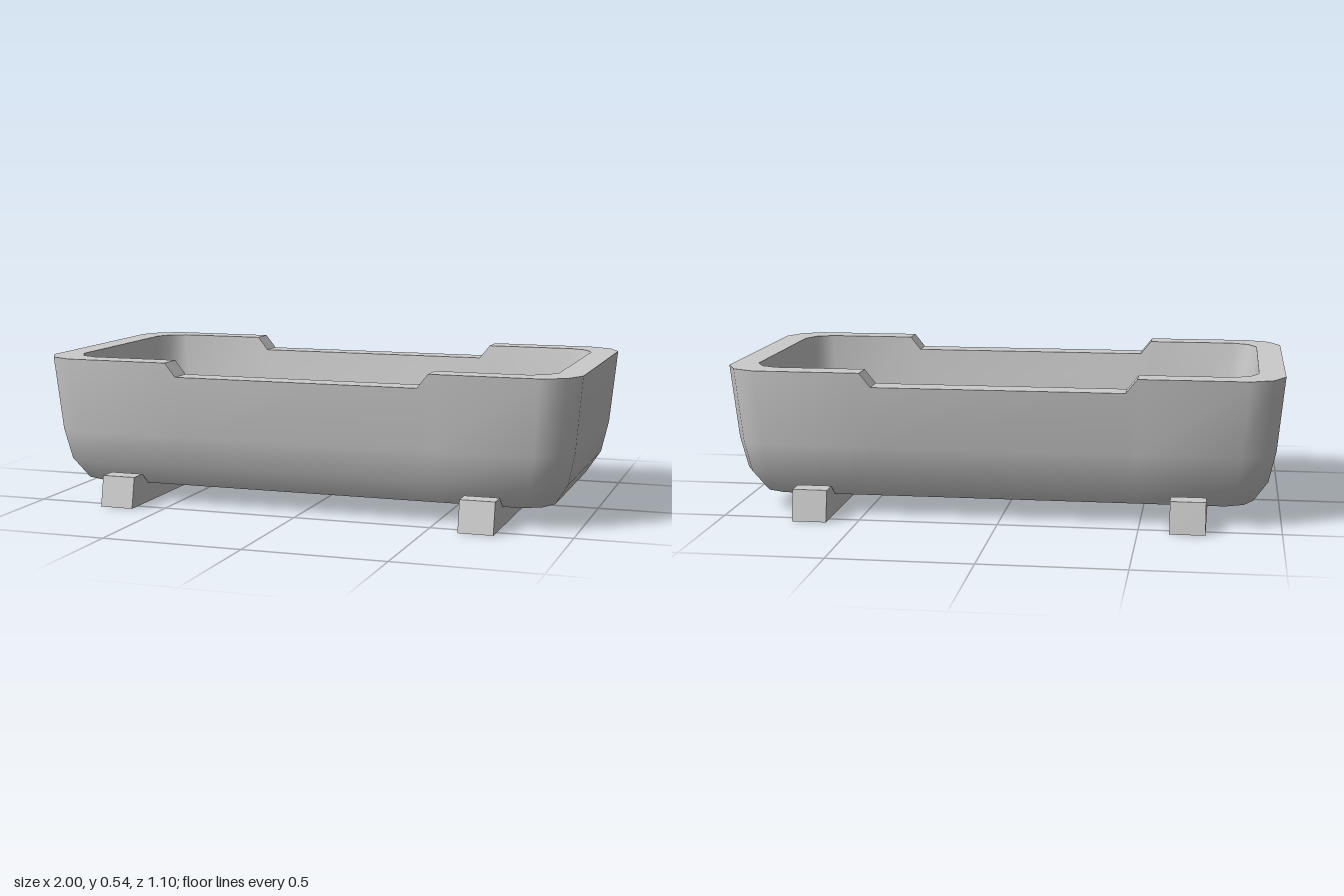
import * as THREE from 'three';
import { toCreasedNormals } from 'three/addons/utils/BufferGeometryUtils.js';

const RIM = 0.535, NOTCH = 0.485;

// Rounded-rectangle loop, anticlockwise from above; extra points on the long sides carry the notch
function loop(hx, hz, r, y, isRim) {
  const quarter = [[hx, hz - r], [hx - 0.34 * r, hz - 0.32 * r], [hx - r, hz], [0.49, hz], [0.45, hz]];
  const mirrored = (sx, sz) => quarter.map(([x, z]) => [x * sx, z * sz]);
  const points = [
    ...mirrored(1, -1), ...mirrored(-1, -1).reverse(),
    ...mirrored(-1, 1), ...mirrored(1, 1).reverse(),
  ];
  return points.map(([x, z]) => [x, isRim && Math.abs(x) < 0.46 ? NOTCH : y, z]);
}

function tubGeometry() {
  // Up the outside, over the rim, down the inside
  const rings = [
    loop(0.9, 0.412, 0.1, 0.072),
    loop(0.95, 0.46, 0.11, 0.15),
    loop(0.975, 0.487, 0.12, 0.265),
    loop(1, 0.508, 0.123, RIM, true),
    loop(0.907, 0.415, 0.09, RIM, true),
    loop(0.872, 0.375, 0.09, 0.16),
  ];
  const n = rings[0].length, last = (rings.length - 1) * n, index = [];
  for (let r = 0; r < rings.length - 1; r++) {
    for (let i = 0; i < n; i++) {
      const a = r * n + i, b = r * n + (i + 1) % n;
      index.push(a, b, b + n, a, b + n, a + n);
    }
  }
  // Underside and inner floor, fanned from a centre point
  const centre = rings.length * n;
  for (let i = 0; i < n; i++) {
    const j = (i + 1) % n;
    index.push(centre, j, i, centre + 1, last + i, last + j);
  }
  const positions = [...rings.flat(2), 0, 0.072, 0, 0, 0.16, 0];
  const geometry = new THREE.BufferGeometry();
  geometry.setAttribute('position', new THREE.Float32BufferAttribute(positions, 3));
  geometry.setIndex(index);
  return toCreasedNormals(geometry, 0.8);
}

// Cross-bar with raised, sloping ends that cradle the tub
function footGeometry() {
  const half = [[0.55, 0], [0.527, 0.112], [0.457, 0.112], [0.412, 0.072]];
  const outline = [...half, ...half.map(([z, y]) => [-z, y]).reverse()];
  const shape = new THREE.Shape(outline.map(([z, y]) => new THREE.Vector2(z, y)));
  const geometry = new THREE.ExtrudeGeometry(shape, { depth: 0.125, bevelEnabled: false });
  return geometry.translate(0, 0, -0.0625).rotateY(-Math.PI / 2);
}

export function createModel() {
  const model = new THREE.Group();
  model.name = 'trough';
  const material = new THREE.MeshStandardMaterial({ color: 0xcccccc });

  const tub = new THREE.Mesh(tubGeometry(), material);
  tub.name = 'tub';
  model.add(tub);

  const foot = footGeometry();
  for (const side of [-1, 1]) {
    const bar = new THREE.Mesh(foot, material);
    bar.name = side > 0 ? 'leftFoot' : 'rightFoot';
    bar.position.x = side * 0.673;
    model.add(bar);
  }
  return model;
}
